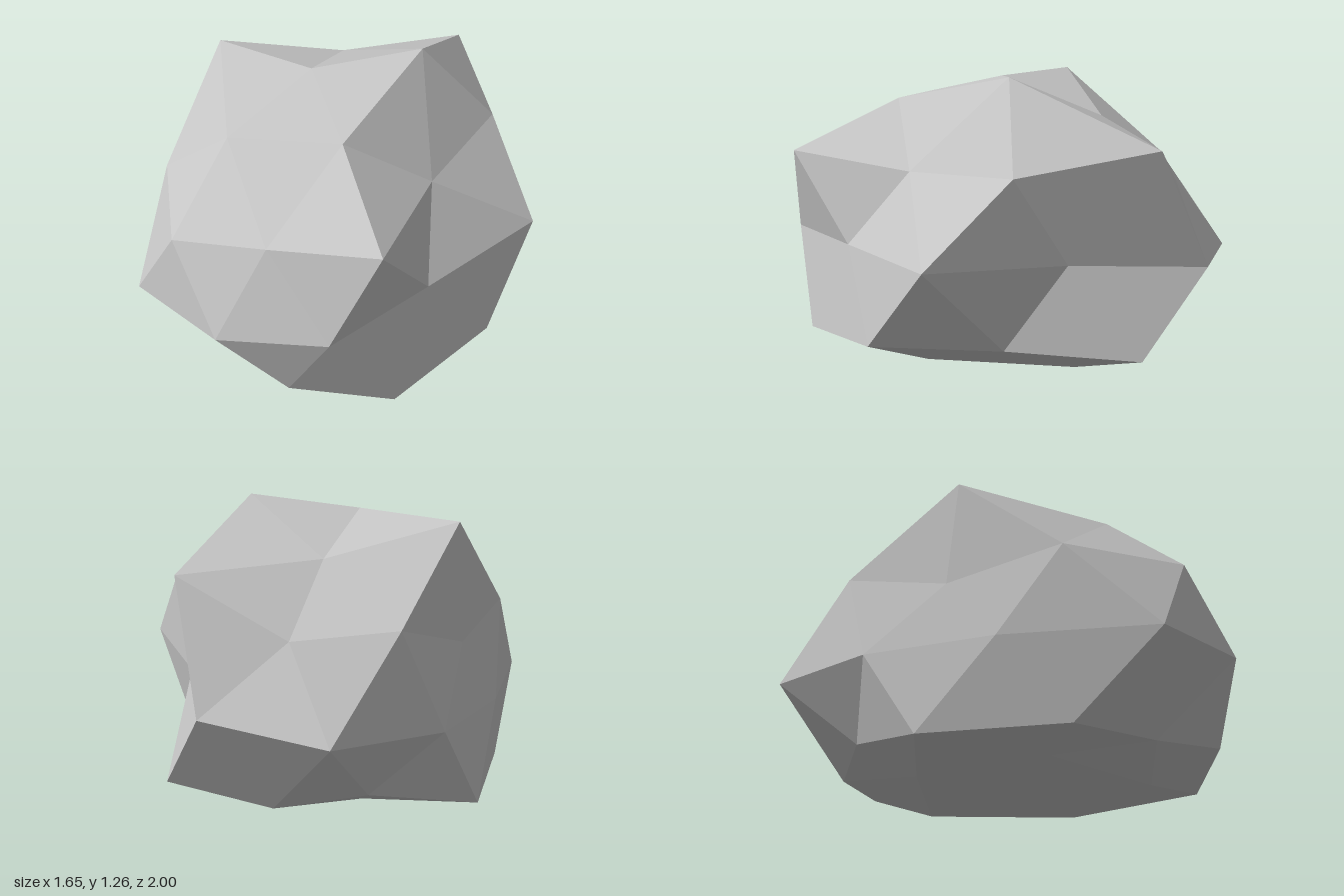
import * as THREE from 'three';

// Each ring holds five points, counterclockwise seen from above
const top = [-0.16, 1.2, 0.065];
const capMid = [[0.24, 1.265, -0.2], [-0.245, 1.045, -0.4], [-0.67, 1.18, -0.01], [-0.3, 1.075, 0.53], [0.17, 1.115, 0.415]];
const upper = [[0.52, 0.915, -0.38], [-0.295, 0.78, -0.745], [-0.71, 0.68, -0.035], [-0.375, 0.757, 0.867], [0.51, 0.9, 0.75]];
const upperMid = [[0.16, 1.012, -0.853], [-0.66, 0.82, -0.52], [-0.685, 0.775, 0.455], [0.045, 0.83, 0.825], [0.457, 0.865, 0.16]];
const beltA = [[0.335, 0.53, -0.535], [-0.56, 0.435, -0.89], [-0.775, 0.375, 0.21], [-0.11, 0.433, 1], [0.567, 0.53, 0.418]];
const beltB = [[-0.04, 0.495, -1], [-0.78, 0.387, -0.355], [-0.622, 0.38, 0.825], [0.345, 0.49, 0.88], [0.825, 0.573, -0.147]];
const lower = [[0.245, 0.137, -0.84], [-0.52, 0.12, -0.51], [-0.68, 0.015, 0.48], [0.14, 0.144, 0.86], [0.762, 0.175, 0.177]];
const lowerMid = [[-0.215, 0.083, -0.745], [-0.825, 0, -0.09], [-0.235, 0.075, 0.68], [0.54, 0.085, 0.668], [0.487, 0.16, -0.32]];
const baseMid = [[0.16, 0, -0.49], [-0.38, 0, -0.3], [-0.42, 0, 0.3], [0.08, 0, 0.57], [0.415, 0, 0.11]];
const bottom = [-0.03, 0, 0.04];

function rockGeometry() {
  const positions = [];
  // One large triangle split in four by its three displaced edge points
  const facet = (a, b, c, ab, bc, ca) => {
    for (const p of [a, ab, ca, ab, b, bc, ca, bc, c, ab, bc, ca]) positions.push(...p);
  };
  for (let i = 0; i < 5; i++) {
    const j = (i + 1) % 5;
    facet(top, upper[i], upper[j], capMid[i], upperMid[i], capMid[j]);
    facet(upper[i], lower[i], upper[j], beltA[i], beltB[i], upperMid[i]);
    facet(lower[i], lower[j], upper[j], lowerMid[i], beltA[j], beltB[i]);
    facet(bottom, lower[j], lower[i], baseMid[j], lowerMid[i], baseMid[i]);
  }
  // Unshared corners give every face its own flat normal
  const geometry = new THREE.BufferGeometry();
  geometry.setAttribute('position', new THREE.Float32BufferAttribute(positions, 3));
  geometry.computeVertexNormals();
  return geometry;
}

export function createModel() {
  const stone = new THREE.MeshStandardMaterial({ color: 0xc6c6c6 });
  stone.name = 'stone grey';

  // Faceted boulder with a flat base
  const boulder = new THREE.Mesh(rockGeometry(), stone);
  boulder.name = 'boulder';

  const group = new THREE.Group();
  group.name = 'rock';
  group.add(boulder);
  return group;
}
